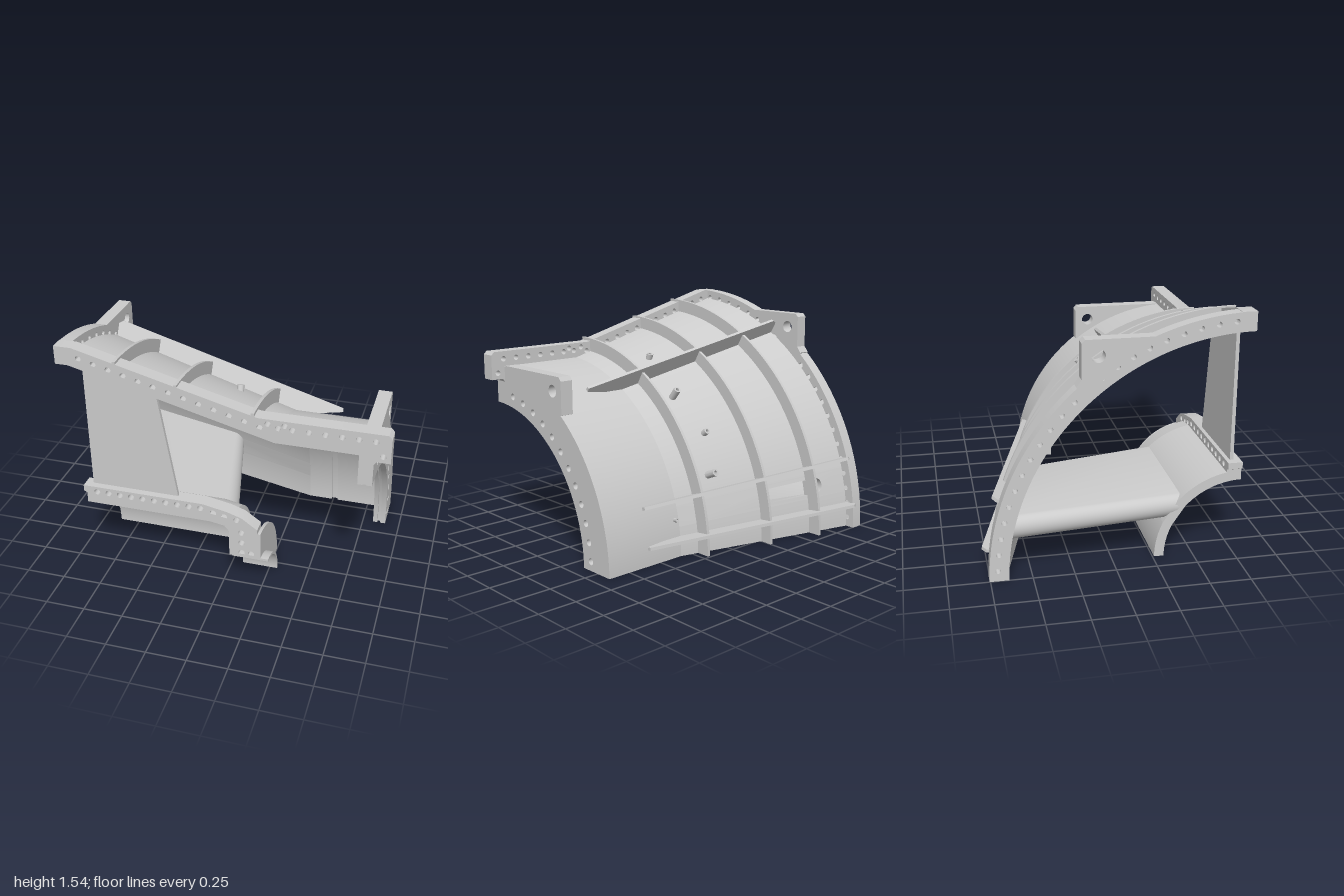
import * as THREE from 'three';
import { toCreasedNormals } from 'three/addons/utils/BufferGeometryUtils.js';

const AXIS_Z = 0.79; // the casing is a quarter turn about the line y = 0, z = AXIS_Z
const Q = Math.PI / 2;
const rad = (d) => d * Math.PI / 180;
const material = new THREE.MeshStandardMaterial({ color: 0xcccccc, side: THREE.DoubleSide });
const coneInner = (x) => 1.43 - (x + 0.92) * 0.264;
const WALL = 0.055;

export function createModel() {
  const model = new THREE.Group();

  const add = (geometry, name, parent = model) => {
    const mesh = new THREE.Mesh(toCreasedNormals(geometry, 0.5), material);
    mesh.name = name;
    parent.add(mesh);
    return mesh;
  };
  const group = (name) => {
    const g = new THREE.Group();
    g.name = name;
    model.add(g);
    return g;
  };
  const poly = (pts) => new THREE.Shape(pts.map((p) => new THREE.Vector2(...p)));
  // slot outline; w = 0 gives a round hole, ry may differ from rx
  const slot = (cx, cy, w, rx, ry = rx, n = 16) => {
    const pts = [];
    for (let i = 0; i < n; i++) {
      const t = ((i + 0.5) / n) * Math.PI * 2;
      pts.push([cx + Math.sign(Math.cos(t)) * w / 2 + rx * Math.cos(t), cy + ry * Math.sin(t)]);
    }
    return poly(pts);
  };
  const drill = (shape, holes, r) => {
    holes.forEach(([x, y]) => shape.holes.push(slot(x, y, 0, r)));
    return shape;
  };
  const extrude = (shape, depth) =>
    new THREE.ExtrudeGeometry(shape, { depth, bevelEnabled: false, curveSegments: 64 });
  const warp = (geometry, rule) => {
    const p = geometry.attributes.position;
    for (let i = 0; i < p.count; i++) p.setXYZ(i, ...rule(p.getX(i), p.getY(i), p.getZ(i)));
    geometry.computeVertexNormals();
    return geometry;
  };
  const polar = (x, r, a) => [x, r * Math.sin(a), AXIS_Z - r * Math.cos(a)];

  // closed profile of [x, radius] points turned about the axis, with end caps
  const turned = (profile, name, parent, a0 = 0, a1 = Q) => {
    const pts = [...profile, profile[0]].map(([x, r]) => new THREE.Vector2(r, x));
    const body = new THREE.LatheGeometry(pts, Math.ceil(64 * (a1 - a0) / Q), a0, a1 - a0);
    add(warp(body, (x, y, z) => [y, x, AXIS_Z - z]), name, parent);
    for (const a of [a0, a1]) {
      add(warp(new THREE.ShapeGeometry(poly(profile)), (x, r) => polar(x, r, a)), name + 'End', parent);
    }
  };
  // plate across the axis: shape u = distance behind the axis, v = height
  const crossPlate = (shape, x0, x1, name, parent) => {
    const g = extrude(shape, x1 - x0);
    g.rotateY(Q);
    g.translate(x0, 0, AXIS_Z);
    add(g, name, parent);
  };
  const quarterRing = (r0, r1) => {
    const s = new THREE.Shape();
    s.moveTo(r0, 0);
    s.lineTo(r1, 0);
    s.absarc(0, 0, r1, 0, Q, false);
    s.lineTo(0, r0);
    s.absarc(0, 0, r0, Q, 0, true);
    return s;
  };
  const arcHoles = (r, n, from, step) =>
    Array.from({ length: n }, (_, i) => rad(from + i * step)).map((a) => [r * Math.cos(a), r * Math.sin(a)]);
  // wall strip with an elongated opening; slot height is given as an angle
  const slottedStrip = (x0, x1, a0, a1, opening, inner, wall, name, parent) => {
    const s = poly([[x0, a0], [x1, a0], [x1, a1], [x0, a1]]);
    s.holes.push(opening);
    add(warp(extrude(s, 1), (x, a, t) => polar(x, inner(x) + wall * t, a)), name, parent);
  };

  // outer casing: cone with a slot, then a cylinder with an inner groove
  const casing = group('outerCasing');
  const cone = [[-0.95, coneInner(-0.95) + WALL], [0.33, 1.10 + WALL], [0.33, 1.10], [-0.95, coneInner(-0.95)]];
  turned(cone, 'coneWall', casing, 0, rad(9.5));
  turned(cone, 'coneWall', casing, rad(16), Q);
  slottedStrip(-0.95, 0.33, rad(9.5), rad(16),
    slot(-0.515, rad(12.7), 0.36, 0.045, 0.036, 24), coneInner, WALL, 'coneSlotWall', casing);
  turned([[0.33, 1.155], [0.84, 1.155], [0.84, 1.10], [0.53, 1.10], [0.53, 1.12],
    [0.49, 1.12], [0.49, 1.10], [0.33, 1.10]], 'cylinderWall', casing);

  // end flanges with bolt circles
  crossPlate(drill(quarterRing(1.43, 1.545), arcHoles(1.495, 22, 2.5, 3.95), 0.017),
    -1, -0.92, 'largeEndFlange', casing);
  const boltCircle = arcHoles(0.977, 13, 3.5, 6.92);
  crossPlate(drill(quarterRing(0.905, 1.155), boltCircle, 0.022), 0.87, 0.905, 'smallEndFlange', casing);
  crossPlate(drill(quarterRing(0.925, 1.155), boltCircle, 0.022), 0.85, 0.87, 'smallEndGroove', casing);
  crossPlate(drill(quarterRing(0.905, 1.155), boltCircle, 0.022), 0.82, 0.85, 'smallEndLip', casing);

  // lifting lugs
  const lugs = group('liftingLugs');
  crossPlate(drill(poly([[0.63, 1.40], [0.55, 1.43], [0.98, 1.43], [1.0, 1.41], [1.0, 1.2], [1.03, 1.16], [0.99, 1.1]]),
    [[0.905, 1.335]], 0.04), -1, -0.92, 'largeEndLug', lugs);
  crossPlate(drill(poly([[0.1, 1.09], [0.1, 1.155], [0.69, 1.155], [0.71, 1.13], [0.71, 0.92], [0.59, 0.88], [0.29, 1.03]]),
    [[0.62, 1.06]], 0.04), 0.82, 0.905, 'smallEndLug', lugs);

  // split-line flange along the front of the casing
  const splitHoles = [[0.29, 1.22], [0.35, 1.20], [0.39, 1.22], [0.955, 1.11]];
  for (let i = 0; i < 13; i++) splitHoles.push([-0.85 + i * 0.091, 1.48 - i * 0.0242]);
  for (let i = 0; i < 6; i++) splitHoles.push([0.435 + i * 0.095, 1.20]);
  const split = drill(poly([[-1, 1.43], [-0.92, 1.43], [0.33, 1.10], [0.82, 1.10], [0.82, 0.91], [0.905, 0.91],
    [0.905, 1.05], [0.92, 1.07], [1, 1.07], [1, 1.23], [0.98, 1.25], [0.23, 1.25], [-0.89, 1.545], [-1, 1.545]]),
  splitHoles, 0.018);
  add(extrude(split, 0.09), 'splitFlange', casing).position.z = 0.70;

  // hoop ribs and lengthwise fins
  const ribs = group('ribs');
  for (const [x, r] of [[-0.63, 1.49], [-0.26, 1.39], [0.2, 1.275]]) {
    const base = coneInner(x) + 0.025;
    turned([[x - 0.01, r], [x + 0.01, r], [x + 0.01, base], [x - 0.01, base]], 'hoopRib', ribs);
  }
  for (const deg of [6.1, 18, 60]) {
    const fin = extrude(poly([[-0.93, 1.46], [-0.93, 1.56], [-0.89, 1.585], [0.62, 1.205], [0.62, 1.18],
      [0.33, 1.13]]), 0.02);
    const a = rad(deg);
    add(warp(fin, (x, r, t) => {
      const [px, py, pz] = polar(x, r, a);
      return [px, py + (t - 0.01) * Math.cos(a), pz + (t - 0.01) * Math.sin(a)];
    }), 'lengthwiseFin', ribs);
  }

  // small pipe bosses on the cone
  const bosses = group('bosses');
  for (const [x, deg, r, h] of [[-0.005, 68, 0.022, 0.05], [0.068, 50, 0.024, 0.09], [-0.005, 35.5, 0.022, 0.05],
    [0.068, 23, 0.024, 0.09], [0.36, 12, 0.014, 0.04]]) {
    const a = rad(deg);
    const base = Math.max(coneInner(x), 1.10) + WALL;
    const ring = slot(0, 0, 0, r, r, 20);
    ring.holes.push(slot(0, 0, 0, r * 0.5));
    const boss = add(extrude(ring, h), 'pipeBoss', bosses);
    boss.position.set(...polar(x, base - 0.015, a));
    boss.lookAt(...polar(x, base + 1, a));
  }

  // inner hub: slotted cylinder, tapered shoulder and bearing sleeve
  const hub = group('innerHub');
  const barrel = [[-0.88, 0.53], [-0.07, 0.53], [-0.07, 0.47], [-0.88, 0.47]];
  turned(barrel, 'hubBarrel', hub, 0, rad(25));
  turned(barrel, 'hubBarrel', hub, rad(43), Q);
  slottedStrip(-0.88, -0.07, rad(25), rad(43),
    slot(-0.455, rad(33.5), 0.46, 0.055, 0.13, 24), () => 0.47, 0.06, 'hubSlotWall', hub);
  turned([[-0.07, 0.53], [0.06, 0.51], [0.09, 0.435], [0.09, 0.26], [0.23, 0.26], [0.23, 0.43], [0.25, 0.43],
    [0.25, 0.25], [0.30, 0.25], [0.30, 0.235], [0.07, 0.235], [0.07, 0.42], [0.03, 0.455], [-0.07, 0.47]],
  'hubShoulder', hub);

  // hub split flange
  const hubHoles = [[-0.05, 0.535], [0.02, 0.52], [0.1, 0.51], [0.13, 0.42], [0.13, 0.345], [0.13, 0.27], [0.19, 0.27]];
  for (let i = 0; i < 10; i++) hubHoles.push([-0.81 + i * 0.0755, 0.555]);
  const hubFlange = drill(poly([[-0.9, 0.55], [-0.88, 0.54], [-0.88, 0.47], [-0.07, 0.47], [0.02, 0.455], [0.05, 0.42],
    [0.05, 0.24], [0.23, 0.24], [0.23, 0.46], [0.13, 0.53], [0.04, 0.56], [-0.12, 0.59], [-0.9, 0.59]]), hubHoles, 0.02);
  add(extrude(hubFlange, 0.09), 'hubSplitFlange', hub).position.z = 0.70;

  // flat strut on the split plane
  const plate = poly([[-0.85, 0.54], [-0.28, 0.54], [-0.40, 1.31], [-0.85, 1.43]]);
  add(extrude(plate, 0.022), 'uprightStrut').position.z = 0.725;

  // hollow swept strut from hub to casing; both ends follow the walls
  const section = slot(0.5, 0.31, 0.83, 0.085, 0.075, 32);
  section.holes.push(slot(0.5, 0.31, 0.83, 0.065, 0.055, 32));
  add(warp(extrude(section, 1), (u, y, t) => {
    const lead = -0.99 + 0.11 * t;
    const tail = -0.2 + 0.2 * t;
    const x = lead + (tail - lead) * u;
    const r = t > 0.5 ? 0.49 : coneInner(x) + 0.015;
    return [x, y, AXIS_Z - Math.sqrt(r * r - y * y)];
  }), 'hollowStrut');

  return model;
}
